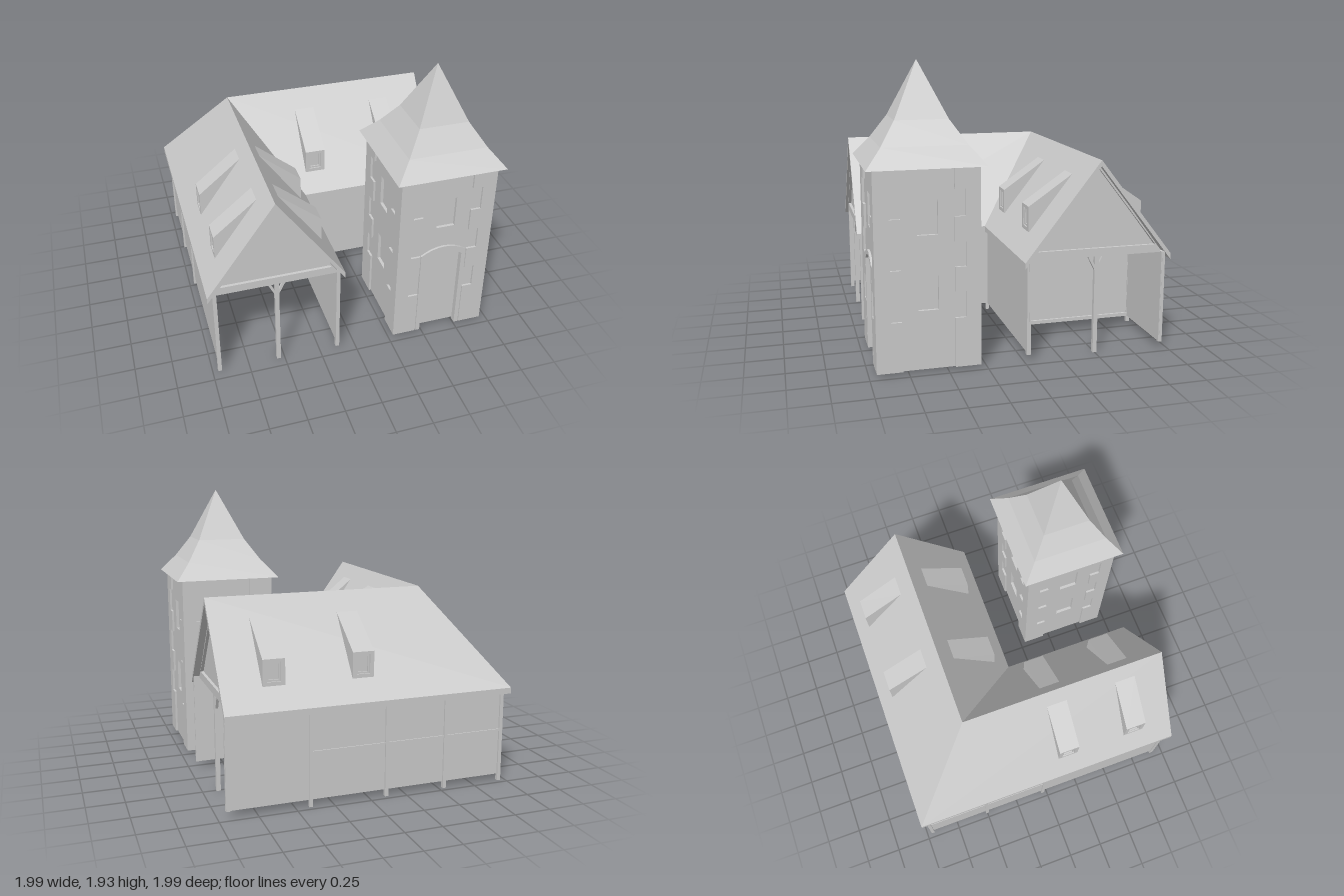
import * as THREE from 'three';

const mat = new THREE.MeshStandardMaterial({ color: 0xcccccc, flatShading: true, side: THREE.DoubleSide });

function add(parent, name, geo, x = 0, y = 0, z = 0) {
  const m = new THREE.Mesh(geo, mat);
  m.name = name;
  m.position.set(x, y, z);
  parent.add(m);
  return m;
}

// Box given by its limits on each axis
function box(parent, name, x0, x1, y0, y1, z0, z1) {
  return add(parent, name, new THREE.BoxGeometry(x1 - x0, y1 - y0, z1 - z0),
    (x0 + x1) / 2, (y0 + y1) / 2, (z0 + z1) / 2);
}

const path = (pts) => pts.map(([x, y]) => new THREE.Vector2(x, y));
const rect = (x0, x1, y0, y1) => [[x0, y0], [x1, y0], [x1, y1], [x0, y1]];

// Flat plate with optional holes, from z = 0 to z = depth
function plate(pts, depth, holes = []) {
  const s = new THREE.Shape(path(pts));
  holes.forEach((h) => s.holes.push(new THREE.Path(path(h))));
  return new THREE.ExtrudeGeometry(s, { depth, bevelEnabled: false });
}

// Convex roof slope (corners counter-clockwise from above) with a vertical thickness
function slab(pts, drop) {
  const pos = [];
  const n = pts.length;
  const low = pts.map(([x, y, z]) => [x, y - drop, z]);
  for (let i = 1; i < n - 1; i++) {
    pos.push(...pts[0], ...pts[i], ...pts[i + 1], ...low[0], ...low[i + 1], ...low[i]);
  }
  for (let i = 0; i < n; i++) {
    const j = (i + 1) % n;
    pos.push(...pts[i], ...low[i], ...low[j], ...pts[i], ...low[j], ...pts[j]);
  }
  const g = new THREE.BufferGeometry();
  g.setAttribute('position', new THREE.Float32BufferAttribute(pos, 3));
  g.computeVertexNormals();
  return g;
}

// Timber gable with centre post and braces, facing local +z
function gable(h) {
  const g = new THREE.Group();
  g.name = 'gable';
  add(g, 'gableFrame', plate([[-h + 0.04, 0.66], [h - 0.04, 0.66], [0, 1.27]], 0.03,
    [[[-h + 0.09, 0.715], [h - 0.09, 0.715], [0, 1.24]]]), 0, 0, -0.03);
  add(g, 'gablePanel', plate([[-h + 0.06, 0.67], [h - 0.06, 0.67], [0, 1.25]], 0.01), 0, 0, -0.03);
  box(g, 'centrePost', -0.014, 0.014, 0, 0.67, -0.03, -0.002);
  for (const s of [-1, 1]) {
    add(g, 'brace', plate([[s * 0.01, 0.56], [s * 0.065, 0.67], [s * 0.045, 0.67], [s * 0.01, 0.595]], 0.018), 0, 0, -0.025);
  }
  return g;
}

// Shed dormer: local x points down the slope, the ridge is at x = 0
function dormer(h, back) {
  const g = new THREE.Group();
  g.name = 'dormer';
  const f = h - 0.1;
  const roofY = (u) => 1.3 - 0.64 * u / h;
  add(g, 'dormerBody', plate([[back, roofY(back) - 0.01], [f - 0.02, 0.8], [f - 0.02, 0.96], [f, 0.965], [back, roofY(back)]], 0.145), 0, 0, -0.0725);
  const ring = (o, i, d, x, name) => {
    add(g, name, plate(o, d, [i]), x).rotation.y = Math.PI / 2;
  };
  ring(rect(-0.0725, 0.0725, 0.795, 0.965), rect(-0.045, 0.045, 0.82, 0.945), 0.02, f - 0.02, 'dormerFront');
  ring(rect(-0.045, 0.045, 0.82, 0.945), rect(-0.033, 0.033, 0.832, 0.933), 0.01, f - 0.02, 'windowFrame');
  return g;
}

function arch(w, side, peak, y0) {
  const c = new THREE.QuadraticBezierCurve(new THREE.Vector2(w, side),
    new THREE.Vector2(0, 2 * peak - side), new THREE.Vector2(-w, side));
  return [[w, y0], ...c.getPoints(8).map((p) => [p.x, p.y]), [-w, y0]];
}

// One tower side, outer plane at local z = 0
function towerSide(half, hasDoor) {
  const g = new THREE.Group();
  g.name = 'towerSide';
  const y0 = 0.015, top = 1.3, e = half - 0.015;
  const win = [rect(-0.065, 0.065, 0.88, 1.1)];
  let outline = rect(-e, e, y0, top);
  if (hasDoor) {
    outline = [[-e, y0], ...arch(0.133, 0.64, 0.695, y0).reverse(), [e, y0], [e, top], [-e, top]];
    const inner = arch(0.133, 0.64, 0.695, y0).reverse();
    add(g, 'doorFrame', plate([...arch(0.163, 0.67, 0.725, y0), ...inner], 0.03), 0, 0, -0.03);
    add(g, 'door', plate(arch(0.14, 0.645, 0.7, y0 + 0.01), 0.01), 0, 0, -0.055);
  } else {
    win.push(rect(-0.065, 0.065, 0.4, 0.62));
  }
  add(g, 'towerWall', plate(outline, 0.025, win), 0, 0, -0.04);
  for (const w of win) {
    const y = w[0][1];
    box(g, 'windowPane', -0.07, 0.07, y - 0.005, y + 0.225, -0.045, -0.036);
  }
  // Alternating wide and narrow corner stones
  const rows = [y0, 0.34, 0.51, 0.67, 0.83, 0.99, 1.16, top];
  for (const s of [-1, 1]) {
    for (let i = 0; i < rows.length - 1; i++) {
      const w = i % 2 ? 0.095 : 0.165;
      const a = s * half, b = s * (half - w);
      box(g, 'cornerStone', Math.min(a, b), Math.max(a, b), rows[i], rows[i + 1], -0.03, 0);
    }
  }
  return g;
}

export function createModel() {
  const model = new THREE.Group();
  model.name = 'courtyardHouse';

  // L-shaped roof with hip at the outer corner and valley at the inner one
  const E = 0.66, R = 1.3;
  const hip = [-1, E, -1], peak = [-0.54, R, -0.5], valley = [-0.08, E, 0];
  const sideEnd = [-0.54, R, 0.95], backEnd = [0.955, R, -0.5];
  const slopes = [
    [hip, [-1, E, 0.95], sideEnd, peak],
    [peak, sideEnd, [-0.08, E, 0.95], valley],
    [hip, peak, backEnd, [0.955, E, -1]],
    [peak, valley, [0.955, E, 0], backEnd],
  ];
  slopes.forEach((p) => add(model, 'roofSlope', slab(p, 0.04)));

  // Ceilings
  box(model, 'ceiling', -0.95, -0.13, 0.665, 0.675, -0.95, 0.9);
  box(model, 'ceiling', -0.13, 0.88, 0.665, 0.675, -0.95, -0.04);

  // Walls and partitions
  const B = 0.045, T = 0.672;
  const walls = [
    [-0.955, -0.945, -0.955, 0.92], [-0.13, -0.12, -0.04, 0.92],
    [-0.955, 0.95, -0.955, -0.945], [-0.13, 0.95, -0.04, -0.03],
    [-0.95, -0.125, -0.04, -0.03], [0.395, 0.405, -0.95, -0.035],
  ];
  walls.forEach(([x0, x1, z0, z1]) => box(model, 'wall', x0, x1, B, T, z0, z1));
  box(model, 'sill', -0.945, -0.13, B, 0.07, -0.03, -0.015);
  box(model, 'sill', 0.405, 0.42, B, 0.07, -0.945, -0.04);

  // Timber posts with feet
  const posts = [[-0.955, -0.955], [-0.54, -0.955], [-0.12, -0.955], [0.4, -0.955],
    [-0.955, -0.5], [-0.955, -0.03], [-0.12, -0.03]];
  posts.forEach(([x, z]) => box(model, 'post', x - 0.012, x + 0.012, 0, T, z - 0.012, z + 0.012));
  for (const [x, z] of [[-0.95, 0.915], [-0.12, 0.915], [0.935, -0.952], [0.935, -0.03]]) {
    box(model, 'endPost', x - 0.013, x + 0.013, x > 0 ? B : 0, T, z - 0.013, z + 0.013);
  }

  // Wall rails at mid height
  box(model, 'backRail', -0.955, 0.4, 0.353, 0.367, -0.963, -0.95);
  box(model, 'sideRail', -0.963, -0.95, 0.353, 0.367, -0.955, -0.03);

  // Gables on the two open ends
  const sideGable = gable(0.46);
  sideGable.position.set(-0.54, 0, 0.93);
  const backGable = gable(0.5);
  backGable.position.set(0.91, 0, -0.5);
  backGable.rotation.y = Math.PI / 2;
  model.add(sideGable, backGable);

  // Dormers in pairs on every slope
  for (const turn of [0, Math.PI]) {
    for (const z of [0.155, 0.66]) {
      const d = dormer(0.46, 0.07);
      d.position.set(-0.54, 0, z);
      d.rotation.y = turn;
      model.add(d);
    }
    for (const x of [0.025, 0.617]) {
      const d = dormer(0.5, 0.1);
      d.position.set(x, 0, -0.5);
      d.rotation.y = turn - Math.PI / 2;
      model.add(d);
    }
  }

  // Corner tower
  const tower = new THREE.Group();
  tower.name = 'tower';
  tower.position.set(0.617, 0, 0.619);
  const half = 0.333;
  for (let i = 0; i < 4; i++) {
    const side = towerSide(half, i === 0);
    side.rotation.y = i * Math.PI / 2;
    side.position.set(Math.sin(side.rotation.y) * half, 0, Math.cos(side.rotation.y) * half);
    tower.add(side);
  }

  // Flared four-sided spire, closed underneath
  const profile = path([[0, 1.297], [0.375, 1.297], [0.27, 1.42], [0.17, 1.57], [0, 1.93]]);
  profile.forEach((p) => { p.x *= Math.SQRT2; });
  add(tower, 'spire', new THREE.LatheGeometry(profile, 4, Math.PI / 4).toNonIndexed());
  model.add(tower);

  return model;
}
